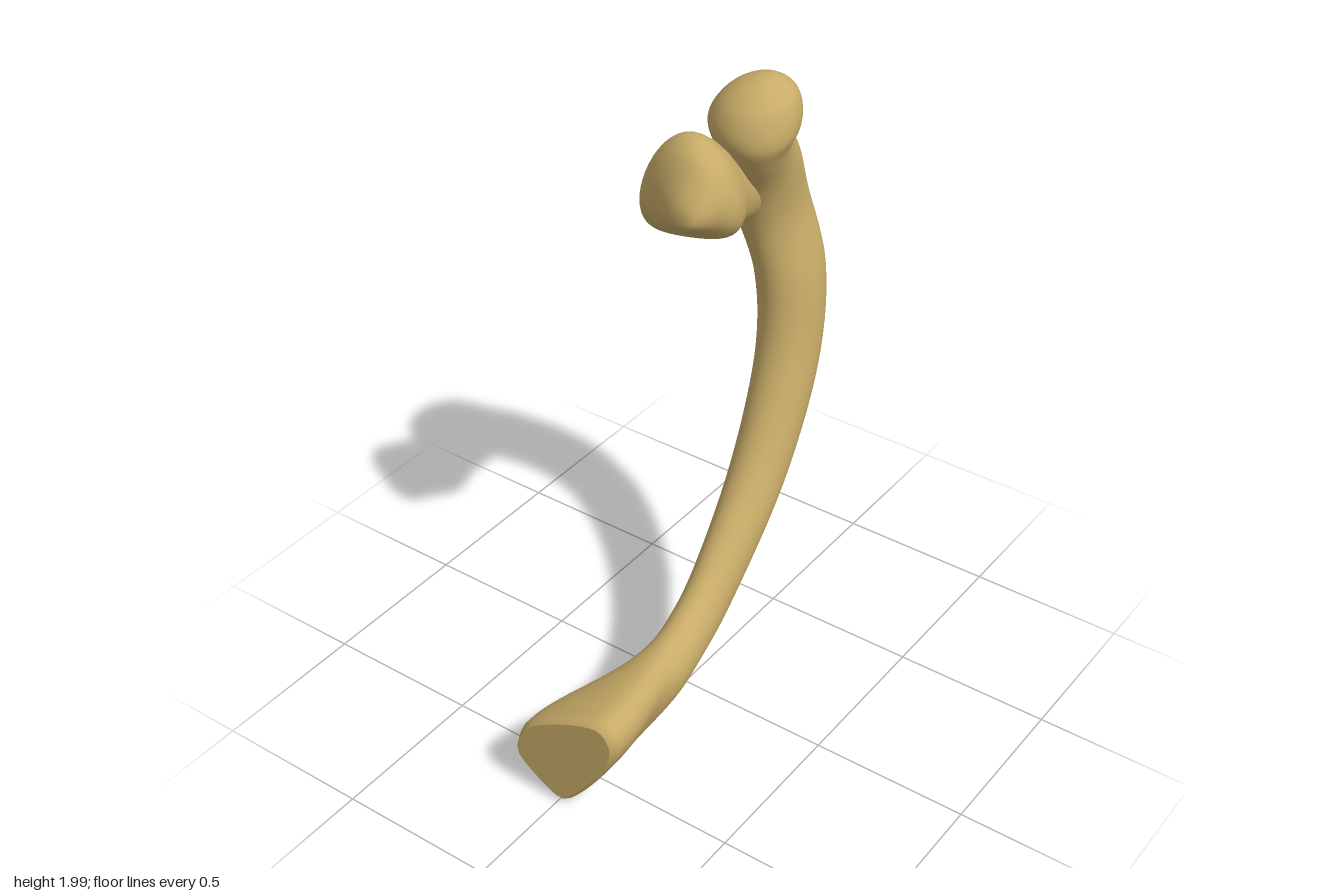
import * as THREE from 'three';

const SIDES = 48;

// Smoothly fills in parameter rows between the given sections
function smoothRows(rows, steps) {
  const out = [];
  const at = i => rows[Math.max(0, Math.min(rows.length - 1, i))];
  for (let i = 0; i < rows.length - 1; i++) {
    for (let s = 0; s < steps; s++) {
      const t = s / steps;
      out.push(at(i).map((p1, k) => {
        const p0 = at(i - 1)[k], p2 = at(i + 1)[k], p3 = at(i + 2)[k];
        const a = (p2 - p0) / 2, b = (p3 - p1) / 2;
        return p1 + a * t + (3 * (p2 - p1) - 2 * a - b) * t * t + (2 * (p1 - p2) + a + b) * t * t * t;
      }));
    }
  }
  out.push(at(rows.length - 1));
  return out;
}

// Skins rings of points; the first end may be a flat cut, the last is rounded off
function loft(rows, pointAt, flatStart) {
  const pos = [], index = [];
  const addRing = row => {
    const sum = new THREE.Vector3();
    for (let j = 0; j < SIDES; j++) {
      const p = pointAt(row, j / SIDES);
      sum.add(p);
      pos.push(p.x, p.y, p.z);
    }
    return sum.divideScalar(SIDES);
  };
  const centres = rows.map(addRing);
  const n = rows.length;
  for (let i = 0; i < n - 1; i++) {
    for (let j = 0; j < SIDES; j++) {
      const k = (j + 1) % SIDES;
      const a = i * SIDES + j, b = i * SIDES + k;
      index.push(a, b, a + SIDES, b, b + SIDES, a + SIDES);
    }
  }
  let start = 0;
  if (flatStart) {
    start = pos.length / 3;
    addRing(rows[0]);
  }
  const c0 = pos.length / 3;
  pos.push(...centres[0].toArray(), ...centres[n - 1].toArray());
  for (let j = 0; j < SIDES; j++) {
    const k = (j + 1) % SIDES, end = (n - 1) * SIDES;
    index.push(c0, start + k, start + j, c0 + 1, end + j, end + k);
  }
  const g = new THREE.BufferGeometry();
  g.setAttribute('position', new THREE.Float32BufferAttribute(pos, 3));
  g.setIndex(index);
  g.computeVertexNormals();
  return g;
}

// Soft bump of height 1 around a middle value
const bump = (v, middle, width) => Math.exp(-(((v - middle) / width) ** 2));

// Outline of the flared, cut end as y, z
const endOutline = new THREE.CatmullRomCurve3([
  [0.385, 0.155], [0.36, 0.197], [0.29, 0.208], [0.015, 0.025],
  [0.01, -0.005], [0.125, -0.155], [0.16, -0.155], [0.26, -0.11],
].map(([y, z]) => new THREE.Vector3(0, y, z)), true);

// Shaft sections: inner edge x y, outer edge x y, z centre, z half depth
const shaftRows = [
  [-0.648, 0.385, -0.648, 0.2, 0.1, 0.08],
  [-0.61, 0.385, -0.61, 0.2, 0.1, 0.08],
  [-0.5, 0.385, -0.5, 0.2, 0.1, 0.08],
  [-0.3, 0.378, -0.29, 0.2, 0.1, 0.08],
  [-0.16, 0.4, -0.11, 0.227, 0.086, 0.07],
  [0, 0.497, 0.09, 0.33, 0.072, 0.07],
  [0.22, 0.73, 0.38, 0.62, 0.055, 0.085],
  [0.37, 1.03, 0.58, 0.96, 0.037, 0.094],
  [0.403, 1.27, 0.65, 1.28, 0.008, 0.098],
  [0.36, 1.48, 0.605, 1.57, -0.037, 0.094],
  [0.23, 1.73, 0.515, 1.79, -0.025, 0.118],
  [0.182, 1.83, 0.475, 1.88, 0, 0.142],
  [0.197, 1.91, 0.435, 1.95, 0.02, 0.115],
  [0.245, 1.965, 0.39, 1.985, 0.03, 0.07],
  [0.3, 1.992, 0.35, 1.999, 0.033, 0.02],
];

function shaftPoint([px, py, qx, qy, zc, hz], t) {
  const c = Math.cos(t * Math.PI * 2), s = Math.sin(t * Math.PI * 2);
  const cx = (px + qx) / 2, cy = (py + qy) / 2;
  // The tubercle leans forward on its inner side
  const slant = 0.05 * bump(cy, 1.79, 0.09);
  const p = new THREE.Vector3(cx + c * (px - qx) / 2, cy + c * (py - qy) / 2, zc + s * hz + c * slant);
  // The low end flares into the cut outline, with a rounded rim
  const flare = THREE.MathUtils.smoothstep(-cx, 0.16, 0.6);
  if (flare > 0) {
    const scale = 1 - 0.1 * Math.max(0, 1 - (cx + 0.648) / 0.033) ** 2;
    const e = endOutline.getPointAt(t);
    const y = (e.y - 0.2) * scale, z = (e.z - 0.03) * scale;
    p.lerp(e.set(cx + 0.05 * z, 0.2 + y, 0.03 + z), flare);
  }
  return p;
}

// Head and neck sections along x: x, bottom y, top y, back z, front z
const headRows = [
  [-0.06, 1.705, 1.73, 0.015, 0.04],
  [-0.052, 1.688, 1.76, -0.02, 0.065],
  [-0.025, 1.664, 1.81, -0.075, 0.09],
  [0.02, 1.625, 1.88, -0.16, 0.11],
  [0.075, 1.582, 1.906, -0.21, 0.122],
  [0.135, 1.56, 1.875, -0.2, 0.105],
  [0.24, 1.538, 1.79, -0.154, 0.05],
  [0.43, 1.5, 1.68, -0.12, 0.01],
];

function headPoint([x, y0, y1, z0, z1], t) {
  const c = Math.cos(t * Math.PI * 2), s = Math.sin(t * Math.PI * 2);
  // The sides of the head sag, most of all at the back
  const droop = 0.07 * bump(x, 0.09, 0.09);
  return new THREE.Vector3(
    x,
    (y0 + y1) / 2 + c * (y1 - y0) / 2 - droop * s * s + 0.5 * droop * s,
    (z0 + z1) / 2 + s * (z1 - z0) / 2,
  );
}

export function createModel() {
  const group = new THREE.Group();
  group.name = 'ribBone';
  const bone = new THREE.MeshStandardMaterial({ color: 0xc8ac68 });
  bone.name = 'bone';

  const shaft = new THREE.Mesh(loft(smoothRows(shaftRows, 7), shaftPoint, true), bone);
  shaft.name = 'shaftAndTubercle';
  const head = new THREE.Mesh(loft(smoothRows(headRows, 6), headPoint, false), bone);
  head.name = 'neckAndHead';
  group.add(shaft, head);
  return group;
}
